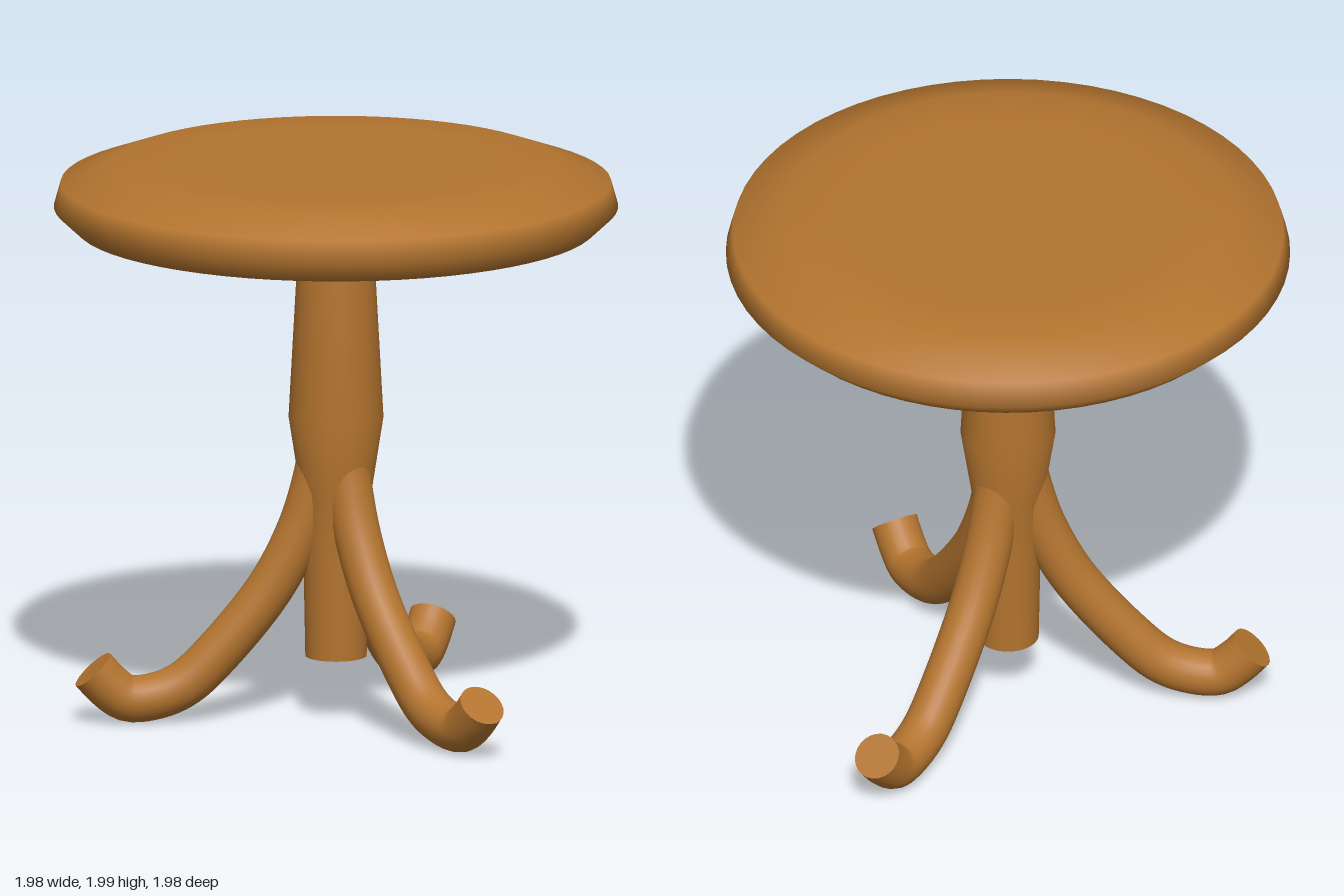
import * as THREE from 'three';

export function createModel() {
  const wood = new THREE.MeshStandardMaterial({ color: 0xb3742f });
  wood.name = 'warm wood';
  const group = new THREE.Group();
  group.name = 'pedestalTable';

  const add = (parent, name, geometry) => {
    const mesh = new THREE.Mesh(geometry, wood);
    mesh.name = name;
    parent.add(mesh);
    return mesh;
  };
  const lathe = (points) =>
    new THREE.LatheGeometry(points.map(([r, y]) => new THREE.Vector2(r, y)), 64);

  // Round top with a bevelled rim
  add(group, 'tableTop', lathe([
    [0, 1.775], [0.7, 1.775], [0.917, 1.775], [0.992, 1.845],
    [0.968, 1.932], [0.78, 2], [0.6, 2], [0, 2],
  ]));

  // Turned column, with its flared collar and flat lower end
  add(group, 'collar', lathe([[0.13, 1.705], [0.235, 1.778]]));
  add(group, 'column', lathe([
    [0.108, 0.23], [0.115, 0.6], [0.125, 0.82], [0.167, 1.09], [0.133, 1.71],
  ]));
  const base = add(group, 'columnEnd', new THREE.CircleGeometry(0.108, 64));
  base.rotation.x = Math.PI / 2;
  base.position.y = 0.23;

  // Three curved legs with upturned, flat-cut feet
  const radius = 0.083;
  const path = new THREE.CatmullRomCurve3([
    [0.05, 0.97], [0.075, 0.85], [0.125, 0.69], [0.23, 0.485], [0.42, 0.25],
    [0.54, 0.14], [0.64, 0.1], [0.74, 0.095], [0.805, 0.14], [0.86, 0.2],
  ].map(([x, y]) => new THREE.Vector3(x, y, 0)));
  const legGeometry = new THREE.TubeGeometry(path, 60, radius, 24);
  const capGeometry = new THREE.CircleGeometry(radius, 24);
  for (let i = 0; i < 3; i++) {
    const leg = new THREE.Group();
    leg.name = 'leg' + (i + 1);
    add(leg, 'legCurve', legGeometry);
    [0, 1].forEach((t) => {
      const cap = add(leg, t ? 'footEnd' : 'legTop', capGeometry);
      cap.position.copy(path.getPoint(t));
      const outward = path.getTangent(t).multiplyScalar(t ? 1 : -1);
      cap.quaternion.setFromUnitVectors(new THREE.Vector3(0, 0, 1), outward);
    });
    leg.rotation.y = (i * Math.PI * 2) / 3;
    group.add(leg);
  }
  return group;
}
